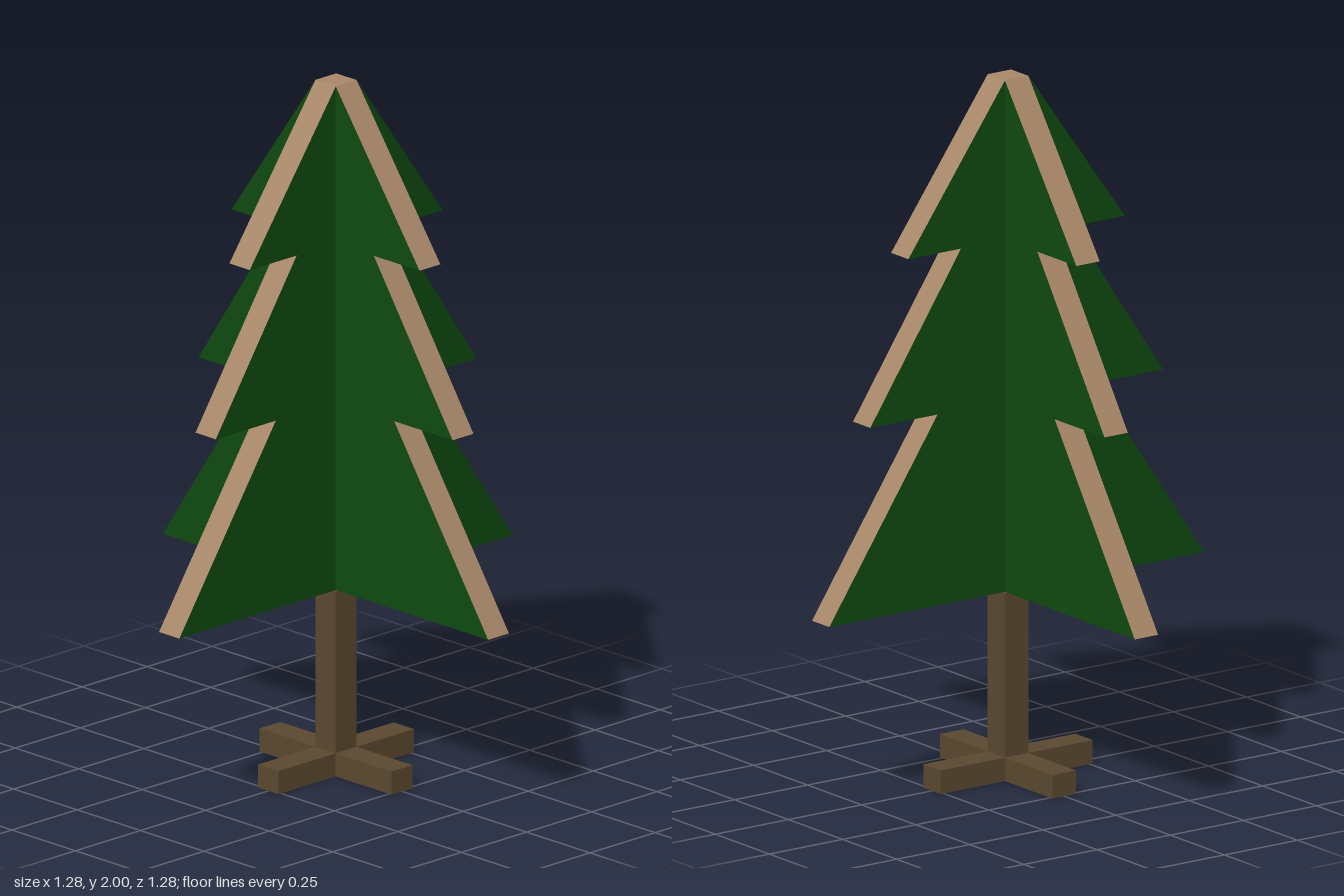
import * as THREE from 'three';

export function createModel() {
  const tree = new THREE.Group();
  const mat = (name, color) => {
    const m = new THREE.MeshStandardMaterial({ color });
    m.name = name;
    return m;
  };
  const green = mat('leafGreen', 0x104a10);
  const tan = mat('cutWoodTan', 0xa98869);
  const brown = mat('trunkBrown', 0x5b4930);

  const T = 0.08; // board thickness

  // Right-hand outline of the three tiers, from bottom to top
  const half = [[0.64, 0.54], [0.27, 1.085], [0.5, 1.085], [0.19, 1.545], [0.37, 1.545], [T / 2, 2]];
  const mirrored = half.map(([x, y]) => [-x, y]).reverse();
  const outline = new THREE.Shape([...half, ...mirrored].map(([x, y]) => new THREE.Vector2(x, y)));
  const panelGeometry = new THREE.ExtrudeGeometry(outline, { depth: T, bevelEnabled: false });
  panelGeometry.translate(0, 0, -T / 2);

  // Two crossed panels: green faces, bare wood edges
  ['foliagePanelAcross', 'foliagePanelDeep'].forEach((name, i) => {
    const panel = new THREE.Mesh(panelGeometry, [green, tan]);
    panel.name = name;
    panel.rotation.y = i * Math.PI / 2;
    tree.add(panel);
  });

  // Square trunk
  const trunk = new THREE.Mesh(new THREE.BoxGeometry(T, 0.535, T), brown);
  trunk.name = 'trunk';
  trunk.position.y = 0.535 / 2;
  tree.add(trunk);

  // Four feet forming the cross-shaped stand
  const reach = 0.26, footHeight = 0.067;
  const footGeometry = new THREE.BoxGeometry(reach - T / 2, footHeight, T);
  footGeometry.translate((reach + T / 2) / 2, footHeight / 2, 0);
  for (let i = 0; i < 4; i++) {
    const foot = new THREE.Mesh(footGeometry, brown);
    foot.name = `standFoot${i + 1}`;
    foot.rotation.y = i * Math.PI / 2;
    tree.add(foot);
  }

  tree.name = 'woodenTree';
  return tree;
}
